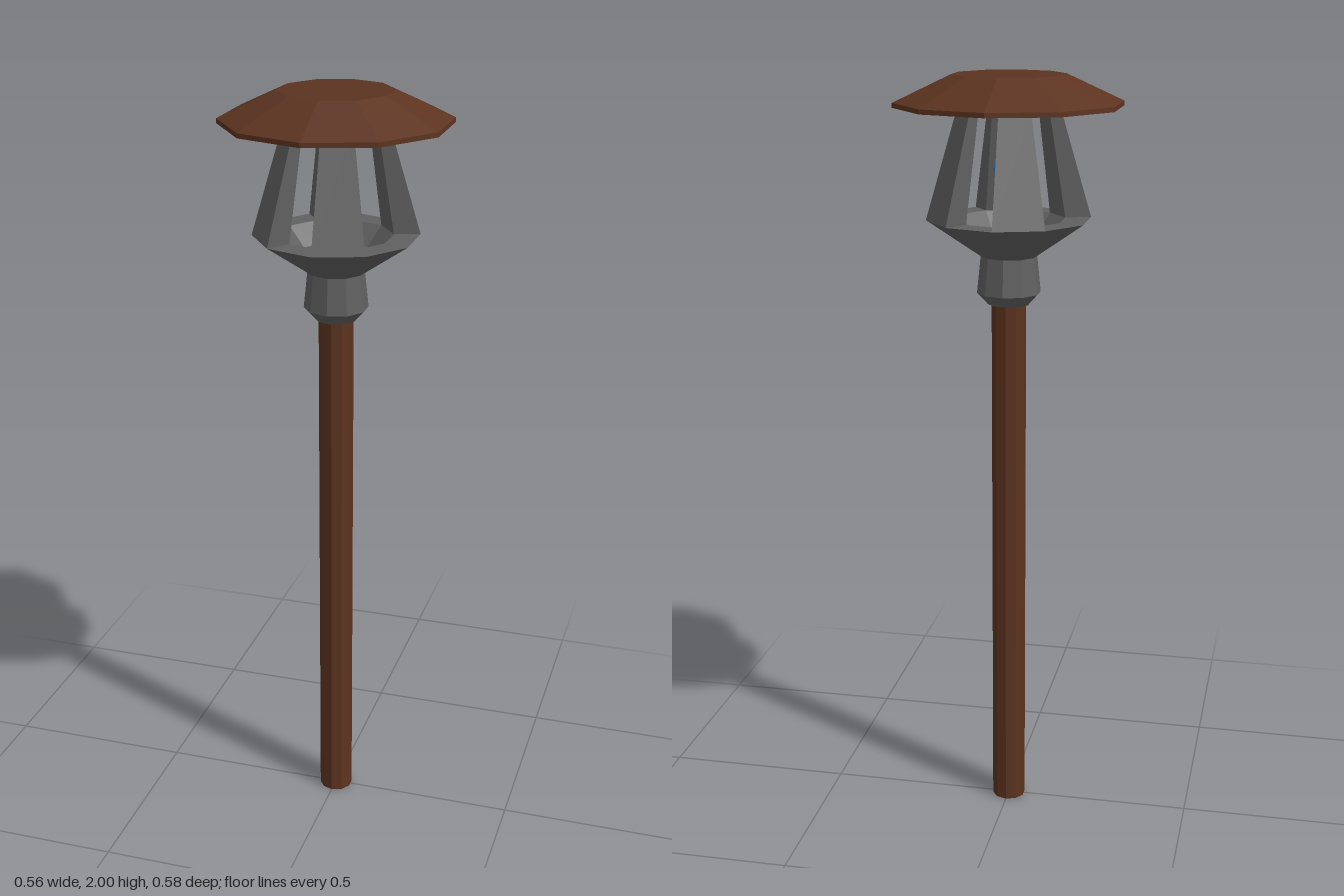
import * as THREE from 'three';

const SIDES = 10;
const STEP = (Math.PI * 2) / SIDES;

const paint = (color) => new THREE.MeshStandardMaterial({ color, flatShading: true });

// Faceted solid turned from a [radius, height] profile, listed bottom to top
function turned(name, profile, material, sides = SIDES) {
  const points = profile.map(([r, y]) => new THREE.Vector2(r, y));
  const mesh = new THREE.Mesh(new THREE.LatheGeometry(points, sides), material);
  mesh.name = name;
  return mesh;
}

// Thick cage bar filling one facet of the ten-sided ring, tapering upwards
function cageBar(facet, material) {
  const bottom = { y: 1.64, outer: 0.212, inner: 0.145 };
  const top = { y: 1.925, outer: 0.128, inner: 0.1 };
  const geometry = new THREE.BoxGeometry(1, 1, 1);
  const pos = geometry.attributes.position;
  for (let i = 0; i < pos.count; i++) {
    const level = pos.getY(i) > 0 ? top : bottom;
    const r = pos.getZ(i) > 0 ? level.outer : level.inner;
    const a = (Math.sign(pos.getX(i)) * STEP) / 2;
    pos.setXYZ(i, r * Math.sin(a), level.y, r * Math.cos(a));
  }
  geometry.rotateY((facet + 0.5) * STEP);
  geometry.computeVertexNormals();
  const mesh = new THREE.Mesh(geometry, material);
  mesh.name = 'cageBar';
  return mesh;
}

export function createModel() {
  const model = new THREE.Group();
  model.name = 'lampPost';
  const wood = paint(0x5c3320);
  const metal = paint(0x606060);
  const glow = paint(0x2a7ab0);

  // Wooden pole
  model.add(turned('pole', [[0, 0], [0.045, 0], [0.045, 1.43], [0, 1.43]], wood));

  // Neck collar with a chamfered lower edge
  model.add(turned('neck', [
    [0, 1.42], [0.055, 1.42], [0.083, 1.45], [0.073, 1.545], [0, 1.545],
  ], metal));

  // Flared bowl with a flat rim and a sunken floor
  model.add(turned('bowl', [
    [0, 1.545], [0.073, 1.545], [0.212, 1.64], [0.145, 1.64], [0.1, 1.59], [0, 1.59],
  ], metal));

  // Four cage bars, in two opposite pairs
  const cage = new THREE.Group();
  cage.name = 'cage';
  for (const facet of [0, 3, 5, 8]) cage.add(cageBar(facet, metal));
  model.add(cage);

  // Floating crystal
  model.add(turned('crystal', [[0, 1.64], [0.042, 1.77], [0, 1.9]], glow, 6));

  // Wide bevelled roof
  model.add(turned('roof', [
    [0, 1.92], [0.292, 1.92], [0.292, 1.932], [0.145, 2], [0, 2],
  ], wood));

  return model;
}
